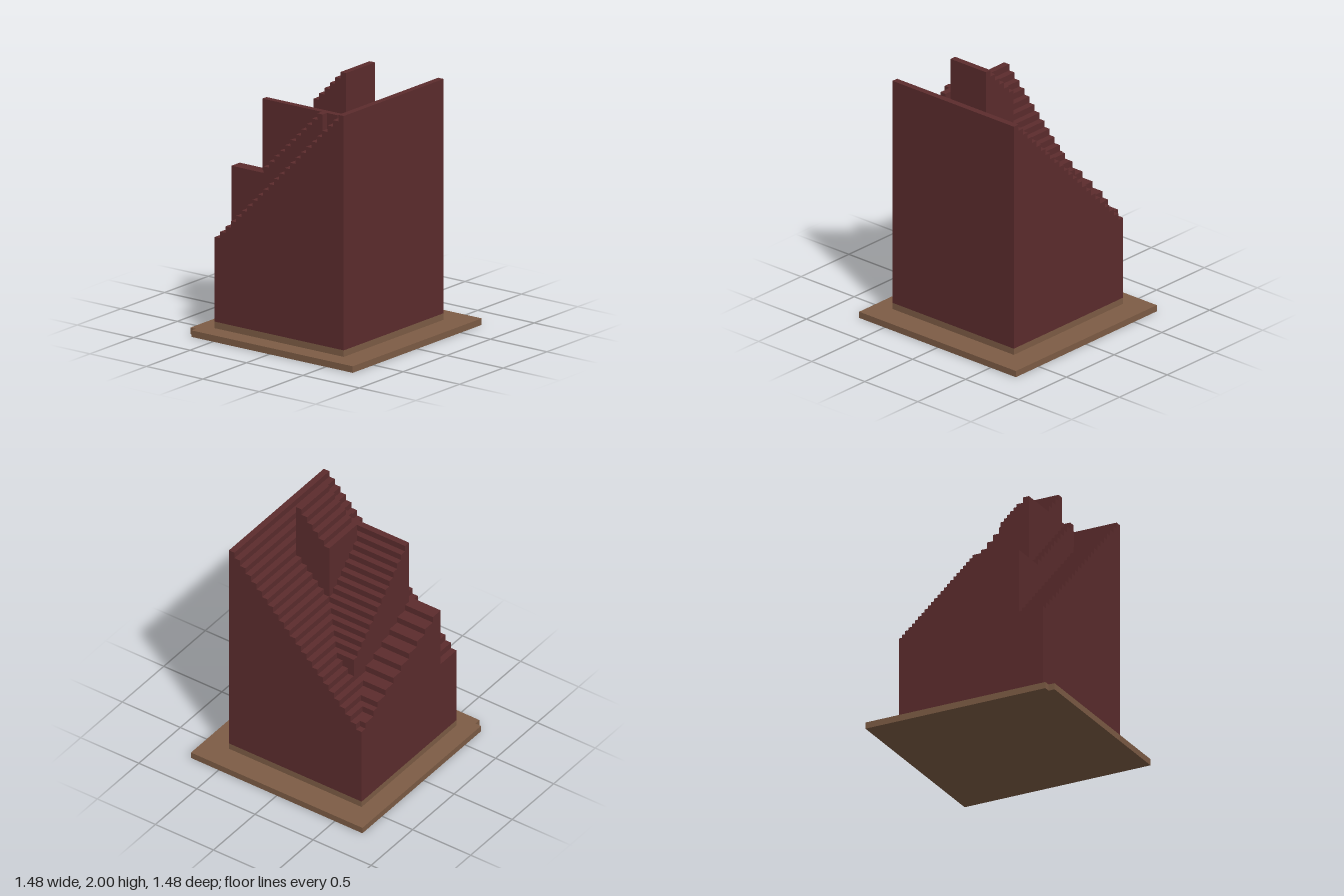
import * as THREE from 'three';
import { mergeGeometries } from 'three/addons/utils/BufferGeometryUtils.js';

const U = 2 / 42;      // one grid cell
const FLOOR = 2;       // tower starts two cells up, on the plinth
const OX = -12.5, OZ = -11.5; // tower corner (left-back), in cells

// Box over cells x0..x1, z0..z1 (end exclusive), from y0 up to y1
function block(x0, x1, z0, z1, y1, y0 = FLOOR) {
  const g = new THREE.BoxGeometry((x1 - x0) * U, (y1 - y0) * U, (z1 - z0) * U);
  g.translate((OX + (x0 + x1) / 2) * U, (y0 + y1) / 2 * U, (OZ + (z0 + z1) / 2) * U);
  return g;
}

export function createModel() {
  const group = new THREE.Group();
  const brick = new THREE.MeshStandardMaterial({ color: 0x5c2c2d });
  brick.name = 'dark red';
  const wood = new THREE.MeshStandardMaterial({ color: 0x7d5c45 });
  wood.name = 'brown';

  const add = (name, blocks, material = brick) => {
    const mesh = new THREE.Mesh(mergeGeometries(blocks), material);
    mesh.name = name;
    group.add(mesh);
  };

  // Ground slab with one cell missing at the front corner, and the plinth
  add('groundSlab', [block(-3, 28, -4, 26, 1, 0), block(-2, 28, 26, 27, 1, 0)], wood);
  add('plinth', [block(0, 24, 0, 24, 2, 1)], wood);

  // Back flight climbs towards +x; tread depths follow the two turning corners
  const backDepth = [1, 3, 4, 6, 8, 5, 5, 5, 6, 7, 8, 9, 10, 10, 10, 10, 10, 10, 10];
  add('backFlight', backDepth.map((d, i) => block(i, i + 1, 0, d, 15 + i)));

  // Side flight climbs towards the front, winding out of the low corner
  const sideStart = [1, 3, 4, 6, 8, 10, 12, 14, 16, 18, 20];
  const side = [];
  for (let n = 0; n < 10; n++) {
    side.push(block(0, Math.min(n + 1, 5), sideStart[n], sideStart[n + 1], 16 + n));
  }
  side.push(block(5, 6, 19, 20, 25));
  add('sideFlight', side);

  // Inner flight climbs towards the front, one row per step
  const inner = [];
  for (let k = 5; k < 19; k++) {
    const end = k >= 17 ? 19 : Math.min(k + 3, 13);
    inner.push(block(5, end, k, k + 1, 18 + k));
  }
  add('innerFlight', inner);

  // Narrow flight against the inner one
  const narrow = [];
  for (let i = 6; i < 17; i++) narrow.push(block(i, i + 1, 19, 20, 20 + i));
  add('narrowFlight', narrow);

  // Summit flight
  const summit = [];
  for (let i = 13; i < 19; i++) summit.push(block(i, i + 1, 10, 17, 24 + i));
  add('summitFlight', summit);

  // Front flight, and the wide upper steps that join front and back
  const front = [], upper = [];
  for (let i = 0; i < 19; i++) front.push(block(i, i + 1, i < 17 ? 20 : 19, 24, 15 + i));
  for (let i = 19; i < 24; i++) upper.push(block(i, i + 1, 0, 24, 15 + i));
  add('frontFlight', front);
  add('upperSteps', upper);

  return group;
}
